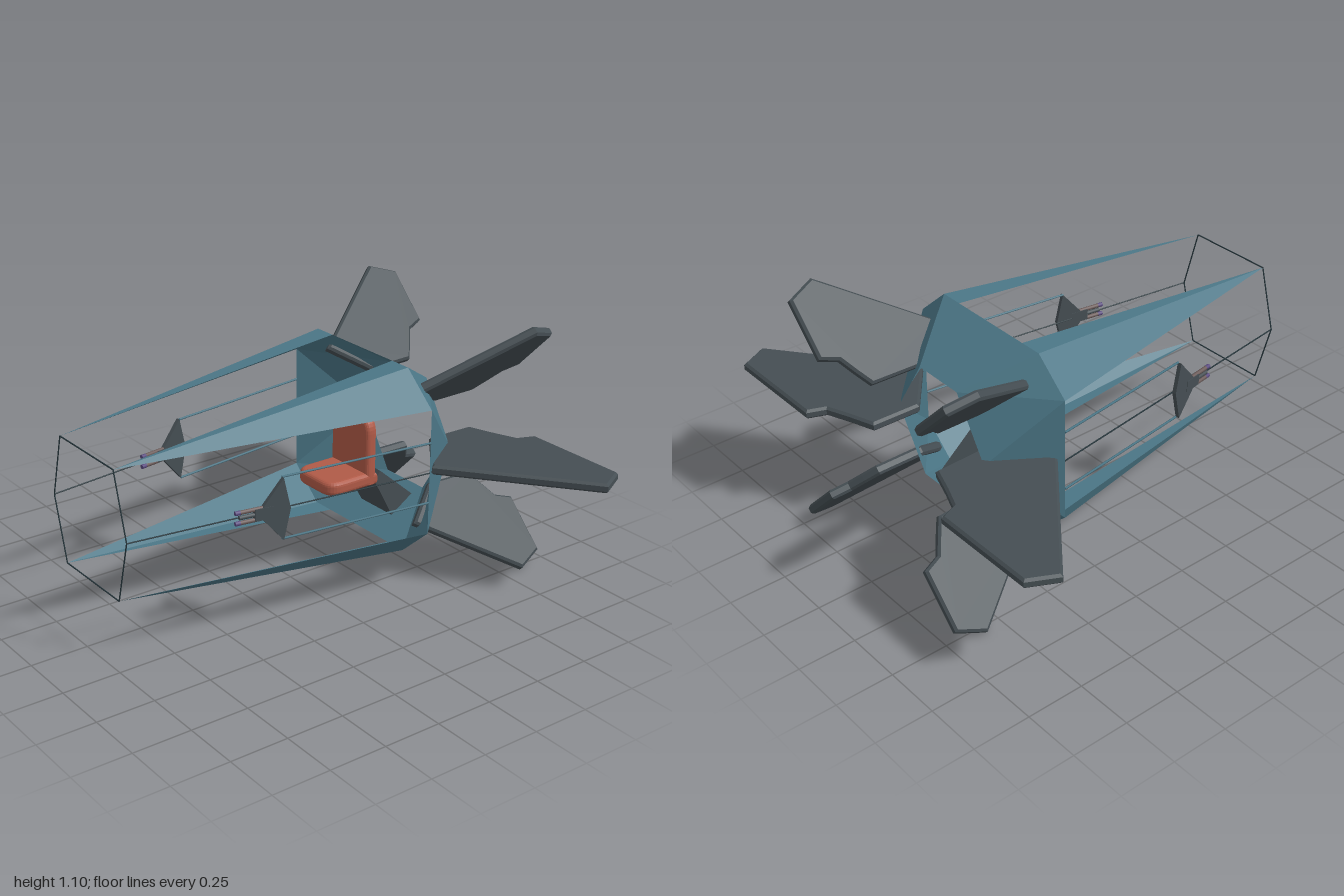
import * as THREE from 'three';

const CY = 0.562; // height of the craft's long axis

export function createModel() {
  const model = new THREE.Group();
  model.name = 'spacecraft';

  const mat = (name, color, double) => {
    const m = new THREE.MeshStandardMaterial({ color });
    m.name = name;
    if (double) m.side = THREE.DoubleSide;
    return m;
  };
  const hullMat = mat('hullTeal', 0x4b7686, true);
  const finMat = mat('finGrey', 0x454e53);
  const seatMat = mat('seatRed', 0xb05a47);
  const frameMat = mat('frameDark', 0x26363c);
  const barrelMat = mat('barrelBrown', 0x6b5a58);
  const tipMat = mat('tipPurple', 0x5a4a80);

  const add = (name, geo, material, parent = model) => {
    const mesh = new THREE.Mesh(geo, material);
    mesh.name = name;
    parent.add(mesh);
    return mesh;
  };

  // Flat faces from triangles of [x, y, z] corners
  const faces = (tris) => {
    const g = new THREE.BufferGeometry();
    g.setAttribute('position', new THREE.Float32BufferAttribute(tris.flat(2), 3));
    g.computeVertexNormals();
    return g;
  };

  // Thin rod between two points
  const rod = (name, a, b, r, material, parent = model, sides = 6) => {
    const p = new THREE.Vector3(...a), q = new THREE.Vector3(...b);
    const d = q.clone().sub(p);
    const mesh = add(name, new THREE.CylinderGeometry(r, r, d.length(), sides), material, parent);
    mesh.position.copy(p).add(q).multiplyScalar(0.5);
    mesh.quaternion.setFromUnitVectors(new THREE.Vector3(0, 1, 0), d.normalize());
    return mesh;
  };

  // Rear hull collar and tapering hull strips, one quarter at a time
  for (const sx of [1, -1]) for (const sy of [1, -1]) {
    const P = (x, y, z) => [x * sx, CY + y * sy, z];
    const tri = (a, b, c) => (sx * sy > 0 ? [a, b, c] : [a, c, b]);
    const a0 = P(0, 0.413, -0.37), a1 = P(0.2, 0.413, -0.37), a2 = P(0.3, 0.413, -0.37);
    const a3 = P(0.455, 0.275, -0.37), a4 = P(0.455, 0, -0.37);
    const b0 = P(0, 0.257, -0.63), b1 = P(0.12, 0.257, -0.63), b2 = P(0.28, 0, -0.63);
    add('rearHull', faces([
      tri(a0, a1, b1), tri(a0, b1, b0), tri(a1, a2, b1),
      tri(a2, a3, b1), tri(a3, b2, b1), tri(a3, a4, b2),
    ]), hullMat);
    const nose = P(0.2, 0.275, 0.96);
    add('hullStrip', faces([tri(a1, nose, a2), tri(a2, nose, a3)]), hullMat);
  }

  // Canopy frame: front hexagon and the two long side wires
  const hex = [[0.2, 0.275], [0.275, 0], [0.2, -0.275], [-0.2, -0.275], [-0.275, 0], [-0.2, 0.275]]
    .map(([x, y]) => [x, CY + y, 0.96]);
  hex.forEach((p, i) => rod('noseFrame', p, hex[(i + 1) % 6], 0.003, frameMat));
  for (const s of [1, -1]) rod('sideWire', [0.275 * s, CY, 0.96], [0.455 * s, CY, -0.37], 0.003, frameMat);

  // Fins: outline given as [distance from axis, z]
  const diagonalFin = [[0.43, -0.43], [0.76, -0.84], [0.71, -0.955], [0.46, -0.955],
    [0.43, -0.88], [0.36, -0.84], [0.295, -0.8], [0.29, -0.59]];
  const sideFin = [[0.44, -0.405], [0.99, -0.84], [0.93, -0.955], [0.46, -0.955],
    [0.43, -0.88], [0.33, -0.84], [0.215, -0.8], [0.21, -0.59]];
  const finGeometry = (outline) => {
    const shape = new THREE.Shape(outline.map(([r, z]) => new THREE.Vector2(r, -z)));
    const g = new THREE.ExtrudeGeometry(shape, {
      depth: 0.022, bevelEnabled: true, bevelThickness: 0.01, bevelSize: 0.01,
      bevelOffset: -0.002, bevelSegments: 1,
    });
    g.translate(0, 0, -0.011);
    g.rotateX(-Math.PI / 2);
    return g;
  };
  const diagonalGeo = finGeometry(diagonalFin), sideGeo = finGeometry(sideFin);
  for (const deg of [0, 45, 135, 180, 225, 315]) {
    const flat = deg % 180 === 0;
    const fin = add(flat ? 'sideFin' : 'diagonalFin', flat ? sideGeo : diagonalGeo, finMat);
    fin.position.y = CY;
    fin.rotation.z = deg * Math.PI / 180;
  }

  // Seat cushions: rounded slabs, softly bevelled
  const cushion = (w, h, t, r) => {
    const b = 0.02, x = w / 2 - b, y = h - b;
    const s = new THREE.Shape();
    s.moveTo(-x, b);
    s.lineTo(x, b);
    s.lineTo(x, y - r);
    s.quadraticCurveTo(x, y, x - r, y);
    s.lineTo(-x + r, y);
    s.quadraticCurveTo(-x, y, -x, y - r);
    s.closePath();
    return new THREE.ExtrudeGeometry(s, {
      depth: t - 2 * b, bevelThickness: b, bevelSize: b, bevelSegments: 4, curveSegments: 8,
    }).translate(0, 0, b);
  };
  const seat = new THREE.Group();
  seat.name = 'seat';
  model.add(seat);
  add('seatBack', cushion(0.25, 0.31, 0.055, 0.06), seatMat, seat).position.set(0, 0.4, -0.365);
  const pan = add('seatPan', cushion(0.25, 0.255, 0.062, 0.05), seatMat, seat);
  pan.rotation.x = Math.PI / 2;
  pan.position.set(0, 0.452, -0.368);

  // Slanted pedestal joining the seat to the floor of the hull
  const side = new THREE.Shape([[0.37, 0.4], [0.47, 0.212], [0.58, 0.285], [0.4, 0.44]]
    .map(([z, y]) => new THREE.Vector2(z, y)));
  const pedestal = new THREE.ExtrudeGeometry(side, { depth: 0.21, bevelEnabled: false });
  pedestal.translate(0, 0, -0.105).rotateY(Math.PI / 2);
  add('seatPedestal', pedestal, finMat, seat);

  // Side guns with mounting plate, barrels and support struts
  const plate = new THREE.Shape([[-0.31, 0.133], [-0.28, 0], [-0.31, -0.133], [-0.4, -0.027], [-0.4, 0.027]]
    .map(([z, y]) => new THREE.Vector2(z, y)));
  const plateGeo = new THREE.ExtrudeGeometry(plate, { depth: 0.018, bevelEnabled: false });
  plateGeo.translate(0.345, 0, -0.009).rotateY(Math.PI / 2);
  for (const s of [1, -1]) {
    const gun = new THREE.Group();
    gun.name = s > 0 ? 'leftGun' : 'rightGun';
    gun.position.set(0.367 * s, CY, 0.345);
    gun.rotation.y = -0.16 * s;
    model.add(gun);
    add('gunPlate', plateGeo, finMat, gun);
    add('gunBody', new THREE.BoxGeometry(0.022, 0.05, 0.08), finMat, gun).position.z = 0.05;
    for (const y of [-0.022, 0, 0.022]) {
      rod('gunBarrel', [0, y, 0.03], [0, y, 0.155], 0.009, y ? barrelMat : finMat, gun, 8);
      if (y) rod('barrelTip', [0, y, 0.15], [0, y, 0.172], 0.0095, tipMat, gun, 8);
    }
    for (const y of [-0.133, 0.133]) {
      rod('gunStrut', [0.365 * s, CY + y, 0.31], [0.455 * s, CY + y, -0.37], 0.005, hullMat);
    }
  }
  return model;
}
